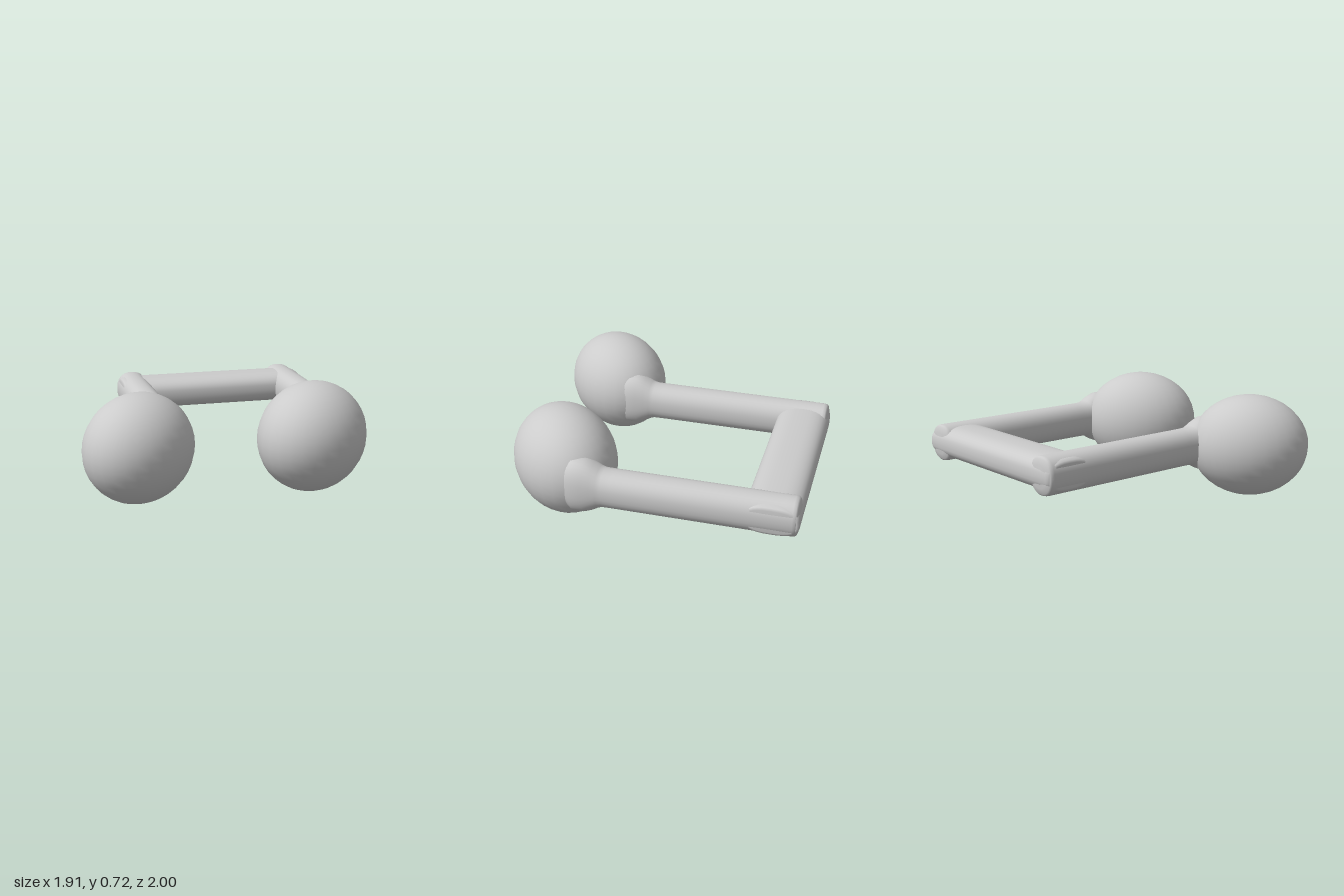
import * as THREE from 'three';

const SIDES = 32;
const MID_Y = 0.363;
const material = new THREE.MeshStandardMaterial({ color: 0xcccccc });

// Closed skin along z through rounded sections [z, halfWidth, halfHeight]
function loft(rings, power) {
  const positions = [], index = [];
  const round = (v) => Math.sign(v) * Math.pow(Math.abs(v), 2 / power);
  for (const [z, rx, ry] of rings) {
    for (let j = 0; j < SIDES; j++) {
      const t = (j / SIDES) * Math.PI * 2;
      positions.push(rx * round(Math.cos(t)), ry * round(Math.sin(t)), z);
    }
  }
  for (let i = 0; i < rings.length - 1; i++) {
    for (let j = 0; j < SIDES; j++) {
      const a = i * SIDES + j, b = i * SIDES + (j + 1) % SIDES;
      index.push(a, b, a + SIDES, b, b + SIDES, a + SIDES);
    }
  }
  const geometry = new THREE.BufferGeometry();
  geometry.setAttribute('position', new THREE.Float32BufferAttribute(positions, 3));
  geometry.setIndex(index);
  geometry.computeVertexNormals();
  return geometry;
}

function addMesh(parent, name, geometry, x, y, z) {
  const mesh = new THREE.Mesh(geometry, material);
  mesh.name = name;
  mesh.position.set(x, y, z);
  parent.add(mesh);
  return mesh;
}

// Egg-shaped head, tilted in the ground plane
function addHead(parent, name, x, z, size, tilt) {
  const geometry = new THREE.SphereGeometry(1, 28, 20);
  geometry.scale(...size);
  geometry.rotateY(tilt);
  addMesh(parent, name, geometry, x, MID_Y, z);
}

// Stem with a softly domed back end and a flare where it enters the head
function addStem(parent, name, x) {
  const w = 0.114, h = 0.127;
  const rings = [
    [-0.992, 0, 0], [-0.988, w * 0.6, h * 0.6], [-0.978, w * 0.9, h * 0.88],
    [-0.968, w * 0.98, h * 0.97], [-0.95, w, h], [-0.9, w, h], [-0.3, w, h],
    [0.2, w, h], [0.27, w, h * 1.01], [0.3, w * 1.01, h * 1.1],
    [0.34, w * 1.04, h * 1.3], [0.4, w * 1.05, h * 1.5],
    [0.48, w, h * 1.5], [0.55, w * 0.7, h], [0.58, 0, 0],
  ];
  addMesh(parent, name, loft(rings, 2.3), x, MID_Y, 0);
}

export function createModel() {
  const model = new THREE.Group();
  model.name = 'beamedNote';

  addHead(model, 'rightHead', -0.592, 0.627, [0.405, 0.35, 0.33], Math.PI / 4);
  addHead(model, 'leftHead', 0.555, 0.635, [0.415, 0.36, 0.335], 0.7);

  addStem(model, 'rightStem', -0.35);
  addStem(model, 'leftStem', 0.832);

  // Wide beam joining the stems at the back
  const d = 0.179, h = 0.113;
  const beam = loft([
    [-0.455, 0, 0], [-0.453, d * 0.85, h * 0.7], [-0.445, d * 0.94, h * 0.85],
    [-0.42, d * 0.97, h * 0.96], [-0.36, d, h], [0.84, d, h],
    [0.9, d, h * 0.96], [0.93, d * 0.98, h * 0.85],
    [0.938, d * 0.9, h * 0.7], [0.94, 0, 0],
  ], 2.7);
  beam.rotateY(Math.PI / 2);
  addMesh(model, 'beam', beam, 0, MID_Y, -0.818);

  return model;
}
